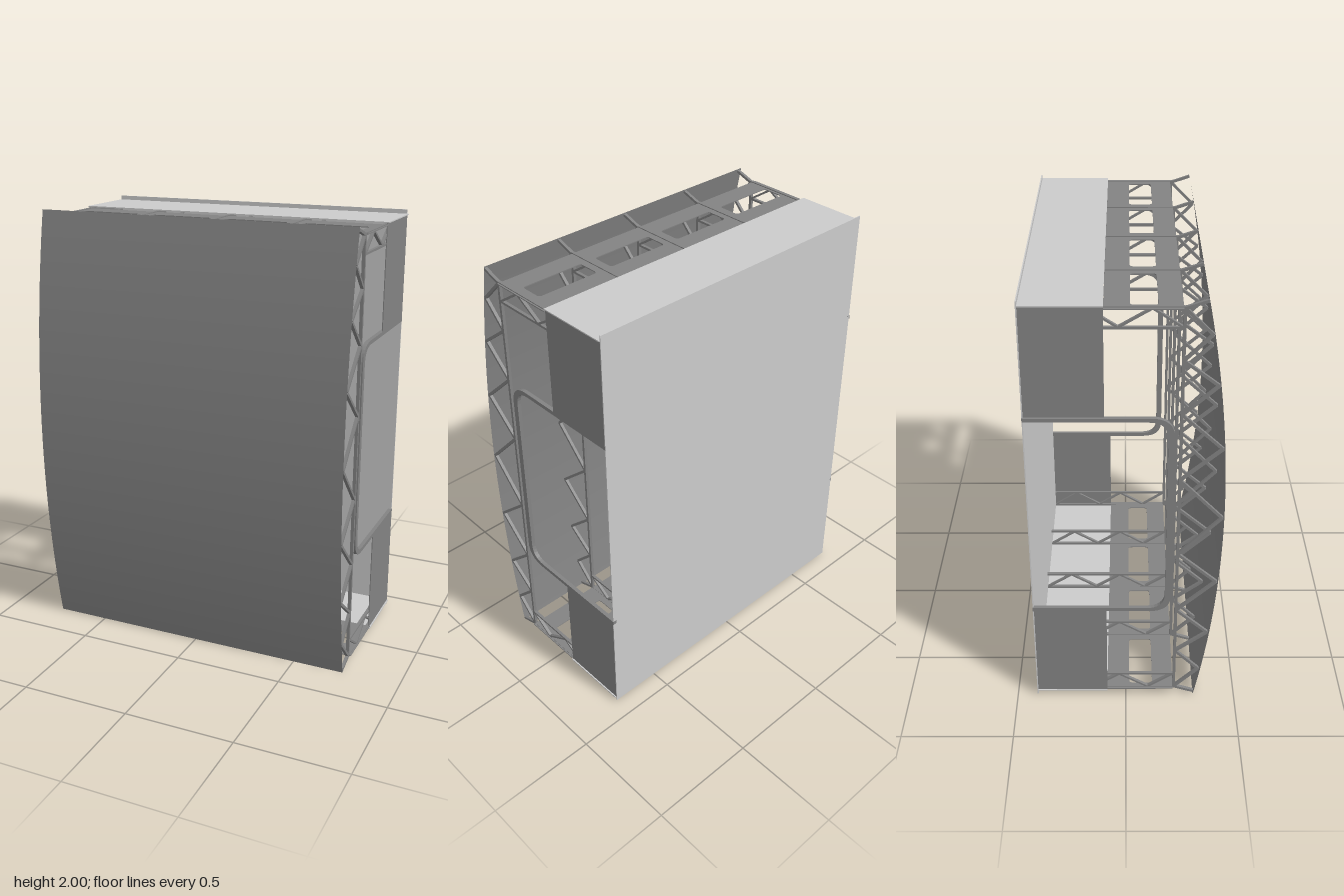
import * as THREE from 'three';

const light = new THREE.MeshStandardMaterial({ color: 0xcccccc, side: THREE.DoubleSide });
const dark = new THREE.MeshStandardMaterial({ color: 0x838383, side: THREE.DoubleSide });
const shellZ = (y) => 0.41 - 0.1 * (y - 1) ** 2;

function add(parent, geo, name, material, x = 0, y = 0, z = 0) {
  const mesh = new THREE.Mesh(geo, material);
  mesh.name = name;
  mesh.position.set(x, y, z);
  parent.add(mesh);
  return mesh;
}

// box given by its min and max corners
function panel(parent, name, material, [x0, y0, z0], [x1, y1, z1]) {
  add(parent, new THREE.BoxGeometry(x1 - x0, y1 - y0, z1 - z0), name, material,
    (x0 + x1) / 2, (y0 + y1) / 2, (z0 + z1) / 2);
}

// straight bar between two [z, y] points in a plane of constant x
function bar(parent, name, x, [z0, y0], [z1, y1], size) {
  const length = Math.hypot(z1 - z0, y1 - y0);
  const mesh = add(parent, new THREE.BoxGeometry(0.014, size, length), name, dark, x, (y0 + y1) / 2, (z0 + z1) / 2);
  mesh.rotation.x = -Math.atan2(y1 - y0, z1 - z0);
}

function zigzag(parent, name, x, points, size) {
  for (let i = 1; i < points.length; i++) bar(parent, name, x, points[i - 1], points[i], size);
}

function roundedRect(path, x0, y0, x1, y1, r) {
  path.moveTo(x0 + r, y0);
  path.lineTo(x1 - r, y0).quadraticCurveTo(x1, y0, x1, y0 + r);
  path.lineTo(x1, y1 - r).quadraticCurveTo(x1, y1, x1 - r, y1);
  path.lineTo(x0 + r, y1).quadraticCurveTo(x0, y1, x0, y1 - r);
  path.lineTo(x0, y0 + r).quadraticCurveTo(x0, y0, x0 + r, y0);
  return path;
}

// one vertical frame: bowed front truss plus top and bottom arms
function trussFrame(x) {
  const frame = new THREE.Group();
  frame.name = 'trussFrame';
  bar(frame, 'frontChord', x, [0.221, 0.035], [0.221, 1.965], 0.013);
  const chordY = [0.04, 0.26, 0.5, 0.81, 1.19, 1.5, 1.74, 1.96];
  const shellY = [0.15, 0.37, 0.66, 1.0, 1.34, 1.63, 1.85];
  const web = [[shellZ(0.005), 0.01]];
  chordY.forEach((y, i) => {
    web.push([0.222, y]);
    if (i < shellY.length) web.push([shellZ(shellY[i]) - 0.007, shellY[i]]);
  });
  web.push([shellZ(1.995), 1.99]);
  zigzag(frame, 'frontBrace', x, web, 0.012);
  for (const flip of [(y) => y, (y) => 2 - y]) {
    bar(frame, 'outerChord', x, [0.222, flip(0.037)], [-0.405, flip(0.037)], 0.01);
    bar(frame, 'innerChord', x, [0.222, flip(0.12)], [-0.405, flip(0.12)], 0.01);
    const arm = [0.215, 0.1, -0.03, -0.15, -0.28, -0.4].map((z, i) => [z, flip(i % 2 ? 0.04 : 0.118)]);
    zigzag(frame, 'armBrace', x, arm, 0.009);
  }
  return frame;
}

export function createModel() {
  const model = new THREE.Group();
  model.name = 'trussWallUnit';

  // bowed front skin
  const skin = new THREE.PlaneGeometry(1.482, 2, 1, 40);
  const p = skin.attributes.position;
  for (let i = 0; i < p.count; i++) {
    const y = p.getY(i) + 1;
    p.setXYZ(i, p.getX(i) - 0.004, y, shellZ(y));
  }
  skin.computeVertexNormals();
  add(model, skin, 'frontSkin', dark);

  // five evenly spaced frames
  for (const x of [-0.727, -0.375, -0.01, 0.358, 0.731]) model.add(trussFrame(x));

  // back sheet standing slightly past the roof and floor sheets
  panel(model, 'backPanel', light, [-0.745, 0.006, -0.41], [0.738, 1.994, -0.405]);
  panel(model, 'roofPanel', light, [-0.745, 1.97, -0.407], [0.745, 1.975, -0.085]);
  panel(model, 'floorPanel', light, [-0.745, 0.025, -0.407], [0.745, 0.03, -0.085]);

  // perforated decks set just inside the outer chords
  const deckShape = new THREE.Shape();
  deckShape.moveTo(-0.745, -0.085).lineTo(0.745, -0.085).lineTo(0.745, 0.217).lineTo(-0.745, 0.217).closePath();
  for (const [x0, x1] of [[-0.708, -0.414], [-0.34, -0.047], [0.028, 0.322], [0.397, 0.69]]) {
    deckShape.holes.push(roundedRect(new THREE.Path(), x0, 0.016, x1, 0.122, 0.016));
  }
  const deck = new THREE.ExtrudeGeometry(deckShape, { depth: 0.004, bevelEnabled: false, curveSegments: 5 });
  deck.rotateX(Math.PI / 2);
  add(model, deck, 'topDeck', dark, 0, 1.964, 0);
  add(model, deck, 'bottomDeck', dark, 0, 0.04, 0);

  // open-backed rounded window frame, drawn in depth and height
  const hoop = new THREE.Shape();
  hoop.moveTo(-0.41, 0.51).lineTo(0.1, 0.51).quadraticCurveTo(0.197, 0.51, 0.197, 0.6);
  hoop.lineTo(0.197, 1.4).quadraticCurveTo(0.197, 1.495, 0.1, 1.495).lineTo(-0.41, 1.495);
  hoop.lineTo(-0.41, 1.477).lineTo(0.09, 1.477).quadraticCurveTo(0.17, 1.477, 0.17, 1.4);
  hoop.lineTo(0.17, 0.605).quadraticCurveTo(0.17, 0.528, 0.09, 0.528).lineTo(-0.41, 0.528);
  const hoopGeo = new THREE.ExtrudeGeometry(hoop, { depth: 0.018, bevelEnabled: false, curveSegments: 8 });
  hoopGeo.rotateY(-Math.PI / 2).translate(0.009, 0, 0);

  // window frames and the closed side sheets above and below them
  for (const [hoopX, sheetX] of [[-0.741, -0.739], [0.73, 0.737]]) {
    add(model, hoopGeo, 'windowFrame', dark, hoopX, 0, 0);
    for (const [y0, y1] of [[0.03, 0.51], [1.492, 1.97]]) {
      panel(model, 'sidePanel', dark, [sheetX - 0.002, y0, -0.407], [sheetX + 0.002, y1, -0.085]);
    }
  }
  return model;
}
